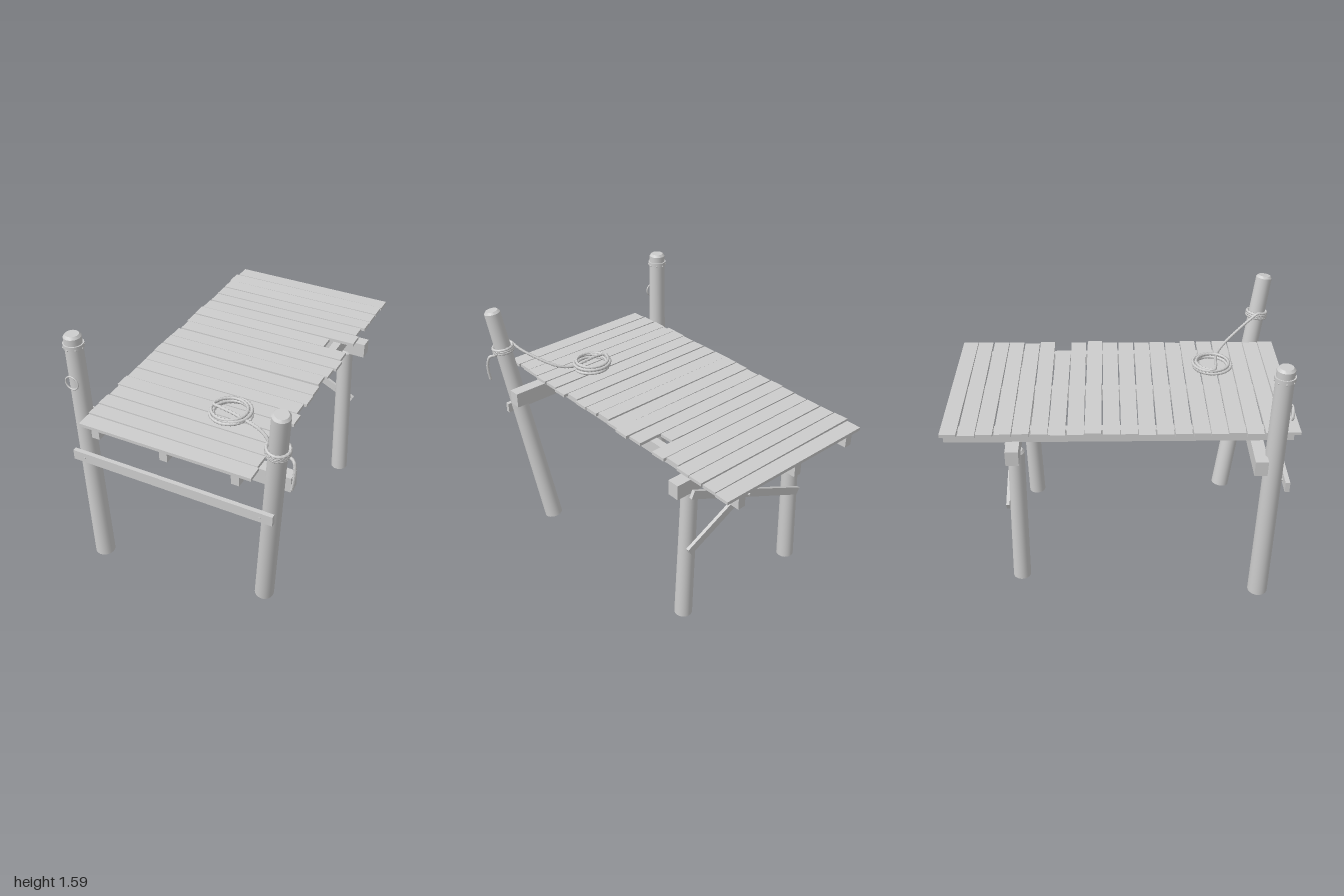
import * as THREE from 'three';
import { toCreasedNormals } from 'three/addons/utils/BufferGeometryUtils.js';

const V = (x, y, z) => new THREE.Vector3(x, y, z);

export function createModel() {
  const model = new THREE.Group();
  model.name = 'dock';
  const grey = new THREE.MeshStandardMaterial({ color: 0xcccccc });
  grey.name = 'plainGrey';

  let seed = 7;
  const wobble = (a) => {
    seed = (seed * 16807) % 2147483647;
    return (seed / 2147483647 - 0.5) * 2 * a;
  };

  const add = (name, geometry, parent = model) => {
    const mesh = new THREE.Mesh(geometry, grey);
    mesh.name = name;
    parent.add(mesh);
    return mesh;
  };

  // Box given by its min and max on each axis
  const board = (name, x0, x1, y0, y1, z0, z1, parent) => {
    const mesh = add(name, new THREE.BoxGeometry(x1 - x0, y1 - y0, z1 - z0), parent);
    mesh.position.set((x0 + x1) / 2, (y0 + y1) / 2, (z0 + z1) / 2);
    return mesh;
  };

  // Tapered round post with a bevelled top, standing between two points
  const post = (name, from, to, r0, r1) => {
    const h = from.distanceTo(to);
    const profile = [[0, 0], [r0, 0], [r1, h - 0.014], [r1 - 0.012, h], [0, h]]
      .map(([r, y]) => new THREE.Vector2(r, y));
    const mesh = add(name, toCreasedNormals(new THREE.LatheGeometry(profile, 24), 0.5));
    mesh.position.copy(from);
    mesh.quaternion.setFromUnitVectors(V(0, 1, 0), to.clone().sub(from).normalize());
    return mesh;
  };

  // Short bolt pointing along z
  const bolt = (name, x, y, z, r, length) => {
    const mesh = add(name, new THREE.CylinderGeometry(r, r, length, 10));
    mesh.rotation.x = Math.PI / 2;
    mesh.position.set(x, y, z);
  };

  // Posts
  const leanBase = V(0.44, 0.012, 0.725), leanTop = V(0.618, 1.528, 0.932);
  post('mooringPost', V(-0.615, 0, 0.842), V(-0.635, 1.585, 0.852), 0.06, 0.05);
  post('leaningPost', leanBase, leanTop, 0.058, 0.05);
  post('backPost', V(-0.463, 0, -0.613), V(-0.452, 0.95, -0.592), 0.054, 0.048);
  post('backPost', V(0.4, 0, -0.572), V(0.378, 0.95, -0.59), 0.054, 0.048);

  // Cross beams, stringers and front rail
  board('frontBeam', -0.7, 0.623, 0.933, 1.027, 0.733, 0.805);
  board('backBeam', -0.595, 0.512, 0.937, 1.03, -0.64, -0.565);
  for (const x of [-0.468, -0.04, 0.386])
    board('stringer', x - 0.024, x + 0.024, 1.027, 1.105, -0.99, 0.976);
  board('frontRail', -0.665, 0.585, 0.793, 0.856, 0.92, 0.946).rotation.z = 0.002;
  for (const x of [-0.59, 0.512]) bolt('railBolt', x, 0.823, 0.93, 0.007, 0.04);

  // Crossed braces between the back posts
  const brace = (x0, y0, x1, y1, z) => {
    const length = Math.hypot(x1 - x0, y1 - y0);
    const mesh = add('backBrace', new THREE.BoxGeometry(length, 0.05, 0.02));
    mesh.position.set((x0 + x1) / 2, (y0 + y1) / 2, z);
    mesh.rotation.z = Math.atan2(y1 - y0, x1 - x0);
  };
  brace(-0.45, 0.965, 0.43, 0.53, -0.645);
  brace(-0.46, 0.535, 0.43, 0.95, -0.665);
  bolt('braceBolt', 0, 0.75, -0.682, 0.008, 0.028);

  // Deck planks with uneven ends, one of them broken short
  const deck = new THREE.Group();
  deck.name = 'deck';
  model.add(deck);
  const rightEnds = [0.495, 0.49, 0.49, 0.49, 0.47, 0.49, 0.337, 0.485, 0.5, 0.485,
    0.47, 0.48, 0.485, 0.47, 0.495, 0.485, 0.49, 0.48, 0.475, 0.485];
  rightEnds.forEach((end, i) => {
    const z = -0.95 + i * 0.1, lift = i === 10 ? 0.004 : wobble(0.002);
    const plank = board('plank', -0.562 + wobble(0.012), end, 1.104 + lift, 1.123 + lift,
      z - 0.0465, z + 0.0465, deck);
    plank.rotation.set(wobble(0.02), wobble(0.006), wobble(0.002));
  });

  // Band with studs around the mooring post
  const band = new THREE.Group();
  band.name = 'postBand';
  band.position.set(-0.634, 1.52, 0.8515);
  model.add(band);
  add('bandHoop', new THREE.CylinderGeometry(0.058, 0.058, 0.024, 24), band);
  for (let i = 0; i < 8; i++) {
    const a = (i / 8) * Math.PI * 2;
    add('bandStud', new THREE.SphereGeometry(0.006, 8, 6), band)
      .position.set(0.056 * Math.cos(a), -0.01, 0.056 * Math.sin(a));
  }

  // Mooring ring hanging from a staple
  add('mooringRing', new THREE.TorusGeometry(0.04, 0.005, 8, 28)).position.set(-0.633, 1.305, 0.912);
  const staple = add('ringStaple', new THREE.TorusGeometry(0.022, 0.004, 6, 12, Math.PI));
  staple.position.set(-0.633, 1.362, 0.9);
  staple.rotation.set(0, Math.PI / 2, -Math.PI / 2, 'YXZ');

  // Rope path: coil on the deck, lead to the leaning post, wraps, loose tail
  const path = [];
  const turns = 4.5, perTurn = 16;
  for (let i = 0; i <= turns * perTurn; i++) {
    const a = (i / perTurn) * Math.PI * 2;
    const r = 0.106 + 0.012 * Math.cos(a * 0.62);
    path.push(V(0.155 + r * Math.cos(a), 1.134 + 0.036 * i / (turns * perTurn), 0.573 - r * Math.sin(a)));
  }
  path.push(V(0.1, 1.172, 0.59), V(0.18, 1.163, 0.597), V(0.28, 1.15, 0.615), V(0.36, 1.167, 0.66),
    V(0.45, 1.22, 0.76), V(0.505, 1.265, 0.84));

  const axis = leanTop.clone().sub(leanBase).normalize();
  const side = V(1, 0, 0).addScaledVector(axis, -axis.x).normalize();
  const front = side.clone().cross(axis);
  const wraps = 3.5;
  for (let i = 0; i <= wraps * 14; i++) {
    const a = Math.PI + (i / 14) * Math.PI * 2, t = i / (wraps * 14);
    path.push(leanBase.clone().lerp(leanTop, 0.845 - 0.026 * t)
      .addScaledVector(side, 0.061 * Math.cos(a))
      .addScaledVector(front, -0.061 * Math.sin(a)));
  }
  path.push(V(0.68, 1.24, 0.91), V(0.692, 1.19, 0.925), V(0.69, 1.13, 0.93), V(0.683, 1.08, 0.93));

  // Twisted rope: a tube whose section has three lobes that turn along its length
  const segments = 1000, sides = 9;
  const curve = new THREE.CatmullRomCurve3(path);
  curve.arcLengthDivisions = 2000;
  const rope = new THREE.TubeGeometry(curve, segments, 0.0085, sides);
  const pos = rope.attributes.position, nor = rope.attributes.normal;
  const twist = curve.getLength() / 0.07 * Math.PI * 2;
  for (let i = 0; i < pos.count; i++) {
    const along = Math.floor(i / (sides + 1)) / segments;
    const around = (i % (sides + 1)) / sides * Math.PI * 2;
    const d = 0.0018 * Math.cos(3 * (around - twist * along));
    pos.setXYZ(i, pos.getX(i) + nor.getX(i) * d, pos.getY(i) + nor.getY(i) * d, pos.getZ(i) + nor.getZ(i) * d);
  }
  rope.computeVertexNormals();
  add('rope', rope);
  for (const end of [path[0], path[path.length - 1]])
    add('ropeEnd', new THREE.SphereGeometry(0.0085, 10, 8)).position.copy(end);

  return model;
}
